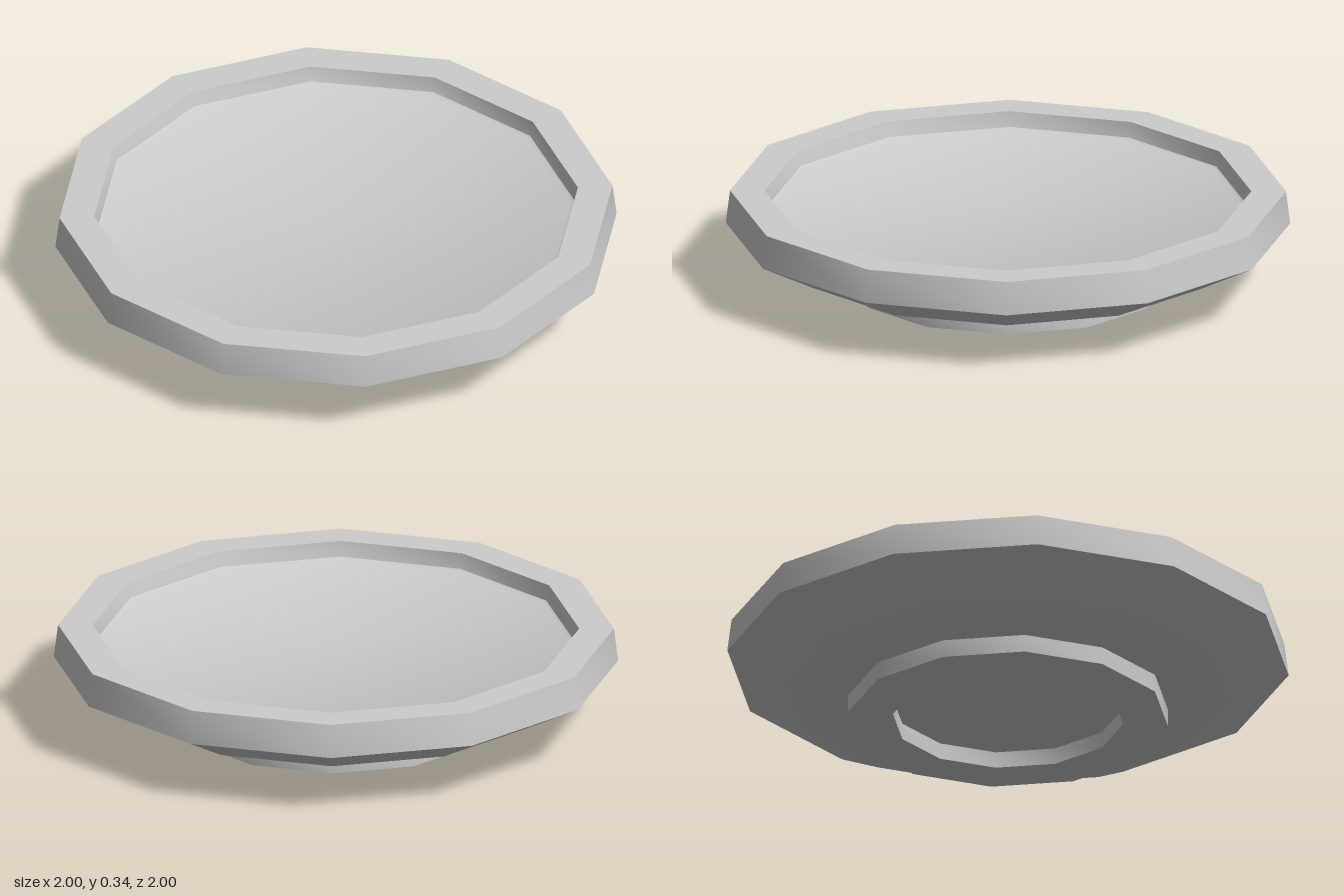
import * as THREE from 'three';
import { toCreasedNormals } from 'three/addons/utils/BufferGeometryUtils.js';

const SIDES = 12;
const CREASE = 0.61; // keeps the rim edges sharp, smooths around the ring

// Twelve-sided turned part from [radius, height] pairs, listed bottom to top
function turned(name, profile, material) {
  const points = profile.map(([r, y]) => new THREE.Vector2(r, y));
  const geometry = toCreasedNormals(new THREE.LatheGeometry(points, SIDES), CREASE);
  const mesh = new THREE.Mesh(geometry, material);
  mesh.name = name;
  return mesh;
}

export function createModel() {
  const group = new THREE.Group();
  group.name = 'plate';

  const ceramic = new THREE.MeshStandardMaterial({ color: 0xcccccc });
  ceramic.name = 'pale grey ceramic';

  // Foot ring with the recessed base inside it
  group.add(turned('footRing', [
    [0, 0.06], [0.41, 0.06], [0.41, 0], [0.57, 0], [0.57, 0.065],
  ], ceramic));

  // Curved underside, slanted outer wall, flat rim and inner wall down to the floor
  group.add(turned('dish', [
    [0.57, 0.065], [0.62, 0.067], [0.79, 0.11], [1, 0.22],
    [0.985, 0.34], [0.862, 0.34], [0.85, 0.285], [0.84, 0.28], [0, 0.28],
  ], ceramic));

  return group;
}
